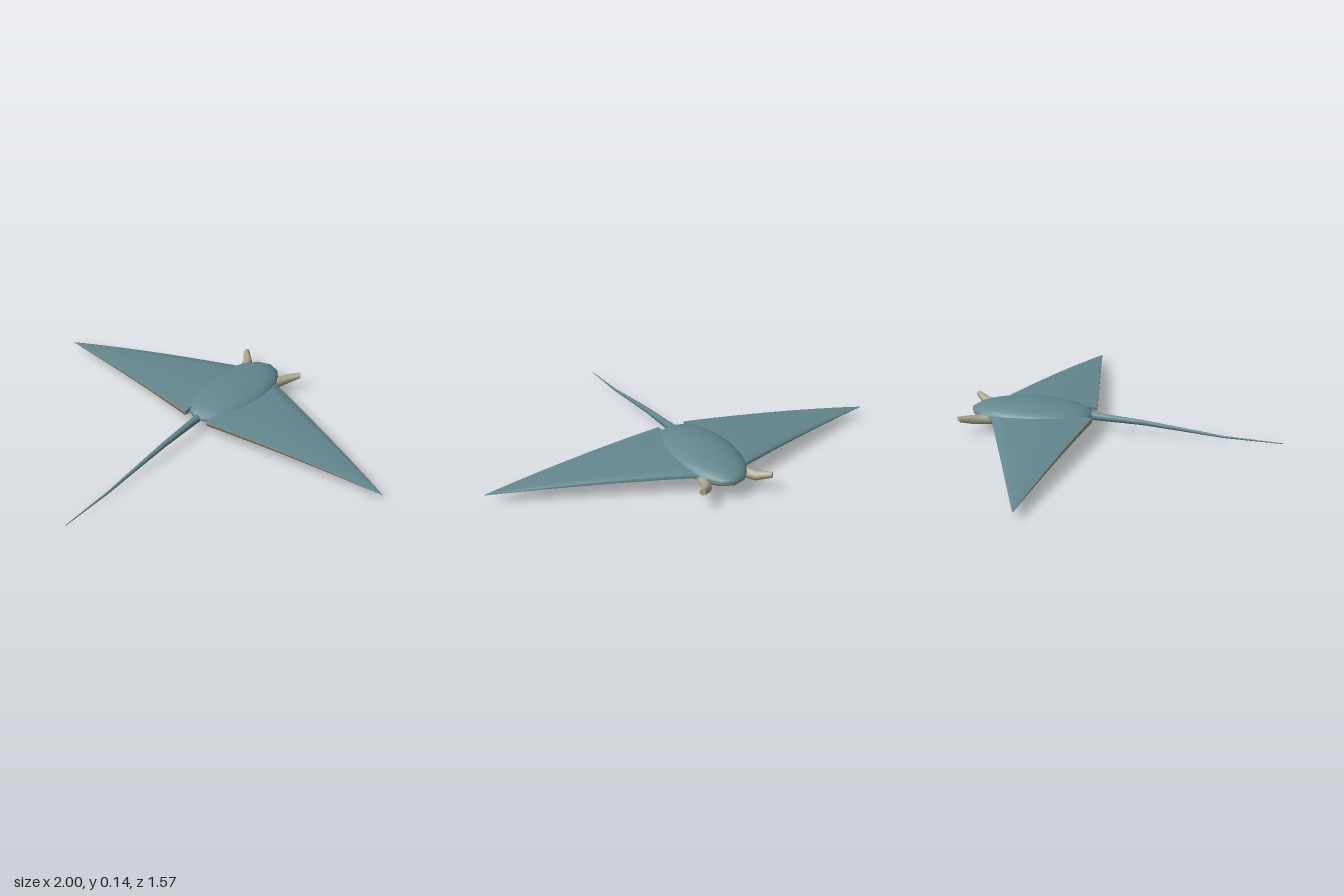
import * as THREE from 'three';

const teal = new THREE.MeshStandardMaterial({ color: 0x64878f });
teal.name = 'teal back';
const cream = new THREE.MeshStandardMaterial({ color: 0xaaa68e });
cream.name = 'cream belly';

// Skin a list of rings (or open strips) of [x, y, z] points
function loft(rings, closed, flip) {
  const n = rings[0].length, index = [];
  for (let i = 0; i < rings.length - 1; i++) {
    for (let j = 0; j < (closed ? n : n - 1); j++) {
      const k = (j + 1) % n;
      const a = i * n + j, b = i * n + k, c = a + n, d = b + n;
      if (flip) index.push(a, c, b, b, c, d);
      else index.push(a, b, c, b, d, c);
    }
  }
  const g = new THREE.BufferGeometry();
  g.setAttribute('position', new THREE.Float32BufferAttribute(rings.flat(2), 3));
  g.setIndex(index);
  g.computeVertexNormals();
  return g;
}

function add(parent, name, geometry, material) {
  const mesh = new THREE.Mesh(geometry, material);
  mesh.name = name;
  parent.add(mesh);
}

// Half of the flattened body ellipsoid
function bodyHalf(start) {
  return new THREE.SphereGeometry(1, 16, 8, 0, Math.PI * 2, start, Math.PI / 2)
    .scale(0.16, 0.061, 0.31).translate(0, 0.083, -0.45);
}

// Upper or lower skin of one wing: tapering, drooping, with blunt edges
function wingSkin(side, upper) {
  const rootX = 0.068, stations = 12, steps = 8;
  const v = upper ? 1 : -1;
  const strip = (t, thick) => {
    const x = rootX + (1 - rootX) * t;
    const lead = THREE.MathUtils.lerp(-0.65, -0.292, t);
    const trail = THREE.MathUtils.lerp(-0.138, -0.29, t);
    const mid = 0.086 - 0.046 * x * x;
    const h = thick * (0.022 * Math.pow(1 - t, 0.7) + 0.0005);
    const at = (u, y) => [side * x, mid + h * y, lead + (trail - lead) * u];
    // the upper skin wraps the leading edge, the lower one the trailing edge
    const pts = [at(upper ? 0 : 1, -0.5 * v)];
    for (let i = 0; i <= steps; i++) {
      const u = upper ? i / steps : 1 - i / steps;
      pts.push(at(u, v * (0.5 + 0.5 * Math.sin(Math.PI * u))));
    }
    return pts;
  };
  const rings = [strip(0, 0), strip(0, 1)]; // root cap
  for (let i = 0; i <= stations; i++) rings.push(strip(i / stations, 1));
  return loft(rings, false, side < 0);
}

// Curled horn-like fin beside the mouth: [x, y, z, dirX, dirZ, radius]
function headFin(side) {
  const path = [
    [0.095, 0.07, -0.62, 0.2, -1, 0.026],
    [0.108, 0.07, -0.67, 0.3, -0.95, 0.026],
    [0.128, 0.073, -0.725, 0.5, -0.87, 0.024],
    [0.176, 0.09, -0.777, 0.7, -0.7, 0.015],
    [0.176, 0.09, -0.777, 0.7, -0.7, 0.015],
    [0.176, 0.09, -0.777, 0.7, -0.7, 0],
  ];
  const rings = path.map(([x, y, z, dx, dz, r]) => Array.from({ length: 8 }, (_, j) => {
    const a = j / 8 * Math.PI * 2, c = r * Math.cos(a);
    return [side * (x - dz * c), y + r * Math.sin(a), z + dx * c];
  }));
  return loft(rings, true, side > 0);
}

// Whip tail: [z, y, half width, half height]
function tailGeometry() {
  const path = [
    [-0.22, 0.083, 0.019, 0.023], [-0.14, 0.08, 0.018, 0.021], [0.1, 0.064, 0.013, 0.014],
    [0.3, 0.041, 0.009, 0.01], [0.5, 0.017, 0.006, 0.006], [0.785, 0.003, 0.001, 0.002],
    [0.785, 0.003, 0, 0],
  ];
  return loft(path.map(([z, y, w, h]) => Array.from({ length: 8 }, (_, j) => {
    const a = j / 8 * Math.PI * 2;
    return [w * Math.cos(a), y + h * Math.sin(a), z];
  })), true, false);
}

export function createModel() {
  const ray = new THREE.Group();
  ray.name = 'ray';

  add(ray, 'bodyBack', bodyHalf(0), teal);
  add(ray, 'bodyBelly', bodyHalf(Math.PI / 2), cream);
  add(ray, 'tail', tailGeometry(), teal);

  // Mirrored wings and head fins
  for (const side of [1, -1]) {
    const label = side > 0 ? 'left' : 'right';
    const wing = new THREE.Group();
    wing.name = label + 'Wing';
    add(wing, label + 'WingTop', wingSkin(side, true), teal);
    add(wing, label + 'WingUnderside', wingSkin(side, false), cream);
    ray.add(wing);
    add(ray, label + 'HeadFin', headFin(side), cream);
  }
  return ray;
}
